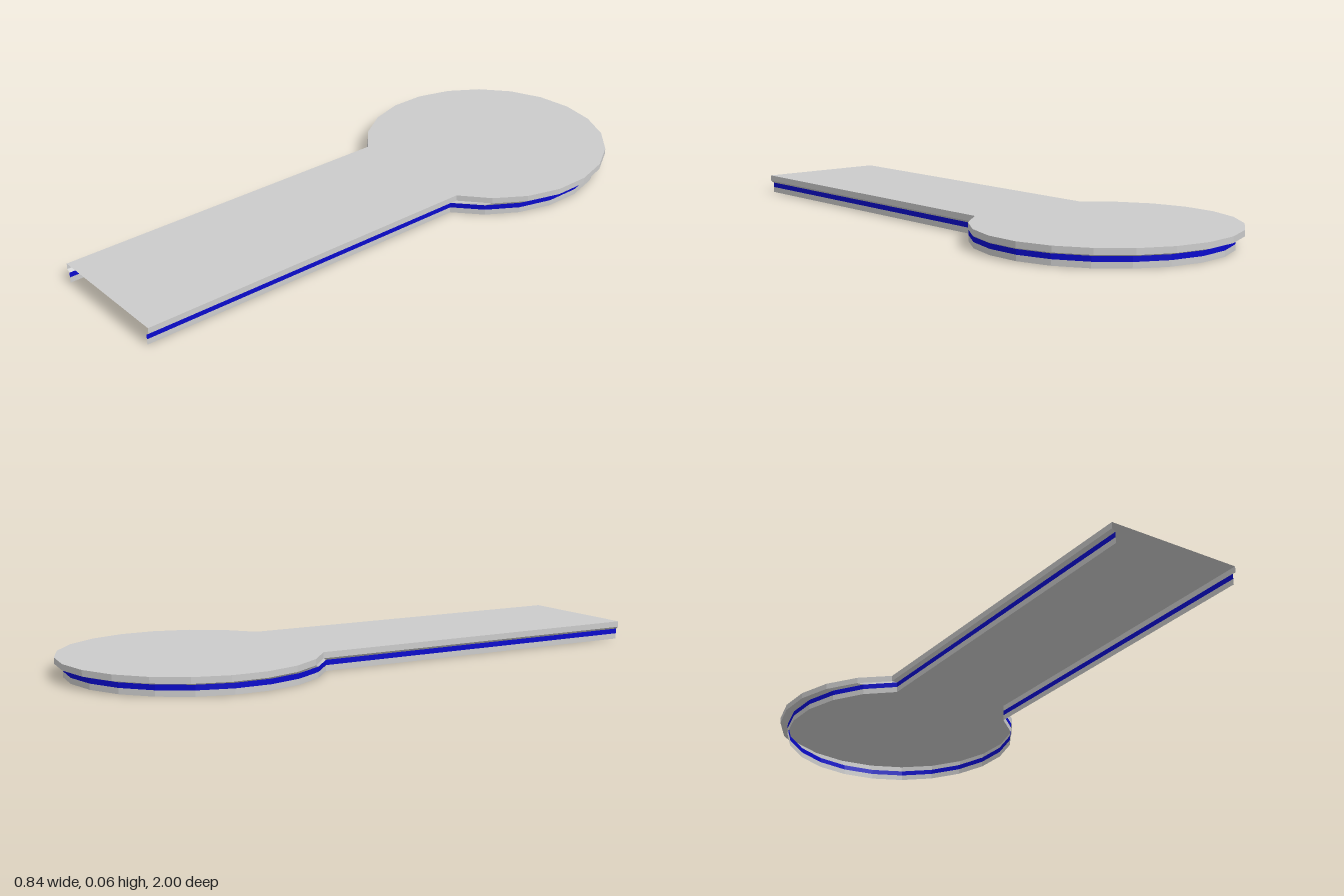
import * as THREE from 'three';

const grey = new THREE.MeshStandardMaterial({ color: 0xcccccc, flatShading: true, side: THREE.DoubleSide });
const blue = new THREE.MeshStandardMaterial({ color: 0x0a0acc, flatShading: true, side: THREE.DoubleSide });

const RADIUS = 0.425, CENTRE_Z = -0.575, SIDES = 22;
const TOP = 0.064, LEDGE = 0.044, BLUE_TOP = 0.036, BLUE_BOTTOM = 0.019;

// Keyhole outline, open at the front: right-angle walkway running into a 22-sided disc.
function outline() {
  const pts = [];
  for (let i = 9; i >= -9; i--) {
    const a = (i / SIDES) * Math.PI * 2;
    pts.push(new THREE.Vector2(Math.sin(a) * RADIUS, CENTRE_Z - Math.cos(a) * RADIUS));
  }
  const halfWidth = pts[0].x;
  return [new THREE.Vector2(halfWidth, 1), ...pts, new THREE.Vector2(-halfWidth, 1)];
}

// Wall strip joining a lower and an upper outline.
function strip(lower, y0, upper, y1) {
  const pos = [], index = [];
  lower.forEach((p, i) => {
    pos.push(p.x, y0, p.y, upper[i].x, y1, upper[i].y);
    if (i > 0) {
      const a = 2 * (i - 1), b = 2 * i;
      index.push(a, b, b + 1, a, b + 1, a + 1);
    }
  });
  const g = new THREE.BufferGeometry();
  g.setAttribute('position', new THREE.Float32BufferAttribute(pos, 3));
  g.setIndex(index);
  const flat = g.toNonIndexed();
  flat.computeVertexNormals();
  return flat;
}

export function createModel() {
  const group = new THREE.Group();
  const add = (name, geometry, material) => {
    const mesh = new THREE.Mesh(geometry, material);
    mesh.name = name;
    group.add(mesh);
  };

  const outer = outline();
  // The lower walls are set in slightly, while the front end stays flush.
  const inner = outer.map(p => new THREE.Vector2(p.x * 0.951, 1 - (1 - p.y) * 0.987));

  // Flat roof
  const roof = new THREE.ShapeGeometry(new THREE.Shape(outer.map(p => new THREE.Vector2(p.x, -p.y))));
  roof.rotateX(-Math.PI / 2).translate(0, TOP, 0);
  add('roof', roof, grey);

  // Edge bands from top to bottom
  add('fascia', strip(outer, LEDGE, outer, TOP), grey);
  add('slopingSoffit', strip(inner, BLUE_TOP, outer, LEDGE), grey);
  add('blueBand', strip(inner, BLUE_BOTTOM, inner, BLUE_TOP), blue);
  add('lowerWall', strip(inner, 0, inner, BLUE_BOTTOM), grey);

  return group;
}
